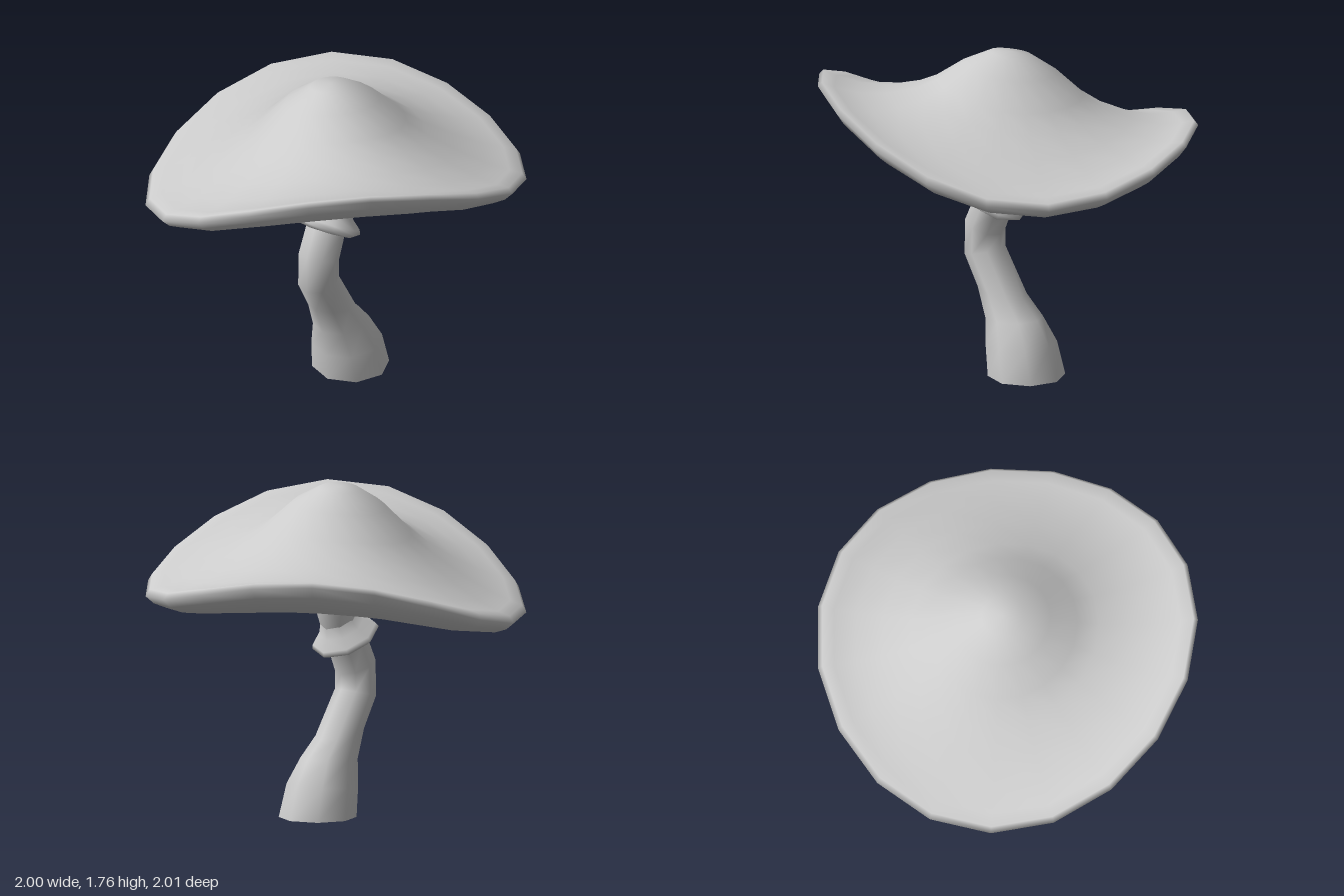
import * as THREE from 'three';
import { mergeVertices } from 'three/addons/utils/BufferGeometryUtils.js';

const material = new THREE.MeshStandardMaterial({ color: 0xcccccc, side: THREE.DoubleSide });

function addPart(group, name, geometry) {
  const mesh = new THREE.Mesh(geometry, material);
  mesh.name = name;
  group.add(mesh);
  return mesh;
}

// Weld the seam so the shading is smooth all the way round
function smooth(geometry) {
  geometry.deleteAttribute('uv');
  geometry.deleteAttribute('normal');
  const welded = mergeVertices(geometry, 1e-4);
  welded.computeVertexNormals();
  return welded;
}

function lathe(points, sides) {
  return new THREE.LatheGeometry(points.map(([r, y]) => new THREE.Vector2(r, y)), sides, Math.PI / 2);
}

// Domed cap with a hollow underside and thick rolled rim, tilted and bent into a saddle
function capGeometry() {
  const geometry = lathe([
    [0, 1.33], [0.15, 1.31], [0.3, 1.245], [0.45, 1.19], [0.62, 1.178], [0.8, 1.194],
    [0.9, 1.222], [0.965, 1.265], [1.007, 1.315], [0.985, 1.345],
    [0.92, 1.343], [0.8, 1.355], [0.65, 1.4], [0.5, 1.467], [0.39, 1.538], [0.25, 1.66], [0.11, 1.742], [0, 1.752],
  ], 19);
  const p = geometry.attributes.position;
  for (let i = 0; i < p.count; i++) {
    const x = p.getX(i), z = p.getZ(i);
    const tilt = -0.057 * x + 0.125 * z;
    const saddle = -0.34 * x * z + 0.02 * x * x - 0.03 * z * z;
    // The crown sits slightly off centre
    const shift = Math.max(0, 1 - Math.hypot(x, z));
    p.setXYZ(i, x - 0.007, p.getY(i) + tilt + saddle, z - 0.035 * shift);
  }
  return smooth(geometry);
}

// Bent stem: loops given by left edge, right edge and half depth; open at the base
function stemGeometry() {
  const sections = [
    [-0.08, 0, 0.33, 0, 0.205],
    [-0.1, 0.15, 0.28, 0.18, 0.187],
    [-0.12, 0.3, 0.2, 0.31, 0.142],
    [-0.18, 0.46, 0.1, 0.41, 0.116],
    [-0.265, 0.61, -0.05, 0.66, 0.11],
    [-0.26, 0.82, -0.05, 0.74, 0.109],
    [-0.19, 0.97, 0, 0.86, 0.106],
    [-0.12, 1.09, 0.06, 0.99, 0.1],
    [-0.05, 1.16, 0.115, 1.13, 0.092],
    [-0.04, 1.34, 0.125, 1.34, 0.09],
  ];
  const sides = 8, positions = [], index = [];
  sections.forEach(([lx, ly, rx, ry, depth], row) => {
    for (let i = 0; i < sides; i++) {
      const a = (i / sides) * Math.PI * 2, t = (1 + Math.cos(a)) / 2;
      positions.push(lx + (rx - lx) * t, ly + (ry - ly) * t, depth * Math.sin(a));
      if (row === 0) continue;
      const j = (i + 1) % sides, lo = (row - 1) * sides, hi = row * sides;
      index.push(lo + i, hi + i, lo + j, lo + j, hi + i, hi + j);
    }
  });
  const geometry = new THREE.BufferGeometry();
  geometry.setAttribute('position', new THREE.Float32BufferAttribute(positions, 3));
  geometry.setIndex(index);
  geometry.computeVertexNormals();
  return geometry;
}

export function createModel() {
  const group = new THREE.Group();
  group.name = 'mushroom';
  addPart(group, 'cap', capGeometry());
  addPart(group, 'stem', stemGeometry());

  // Flared collar around the upper stem
  const ring = addPart(group, 'stemRing', smooth(lathe([
    [0.09, -0.02], [0.155, -0.04], [0.185, -0.02], [0.177, 0.005], [0.125, 0.05], [0.095, 0.11],
  ], 8)));
  ring.position.set(-0.075, 0.95, 0);
  ring.rotation.z = -0.5;
  return group;
}
